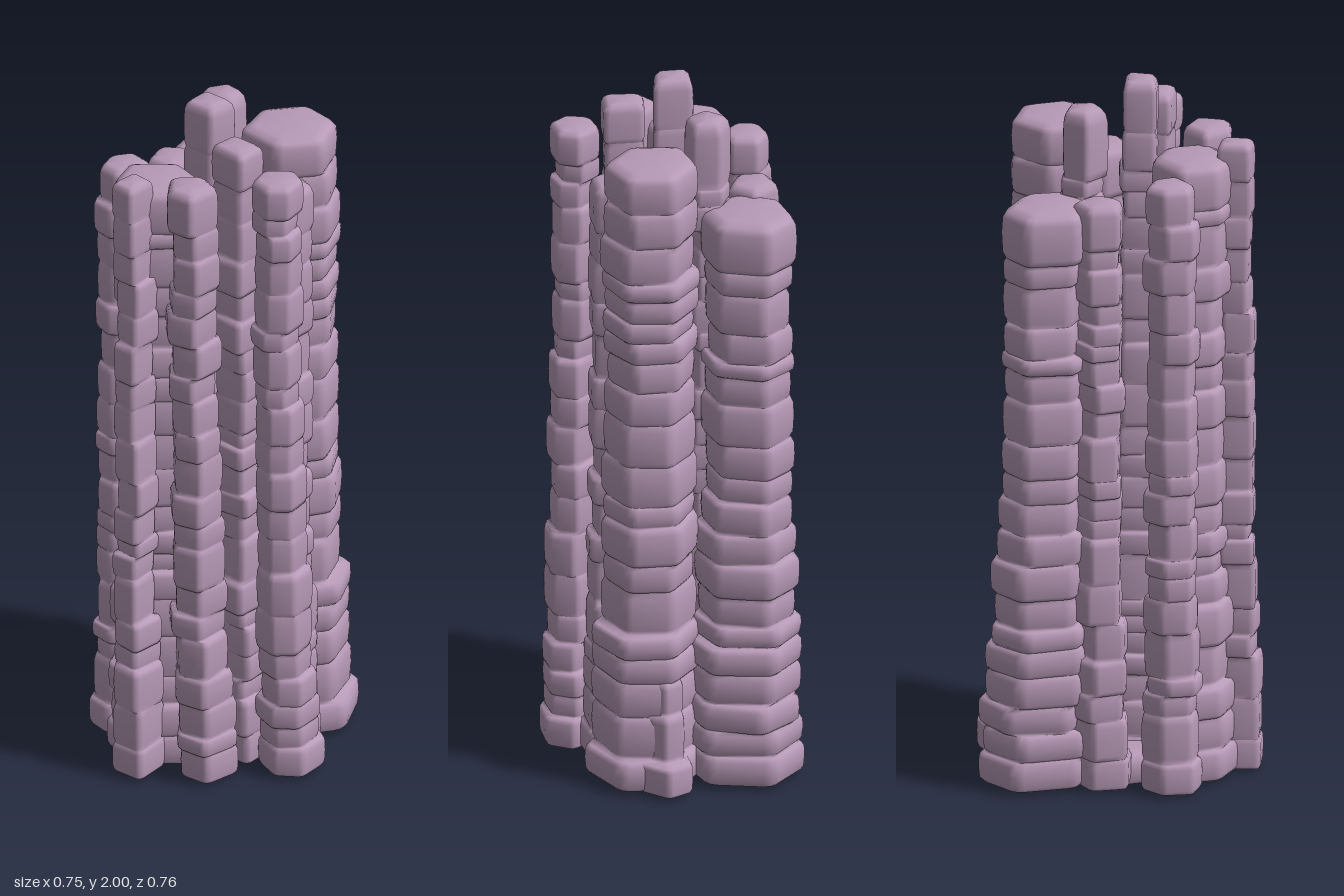
import * as THREE from 'three';

const material = new THREE.MeshStandardMaterial({ color: 0xb79ab7 });

// Small seeded generator, returns values in -1..1
function seeded(seed) {
  let s = seed * 7919 + 17;
  return () => {
    s = (s * 16807) % 2147483647;
    return (s / 2147483647) * 2 - 1;
  };
}

// Unit polygon with uneven sides, softened corners and four points per side
function outline(sides, rot, rand) {
  const corners = [];
  for (let i = 0; i < sides; i++) {
    const a = rot + ((i + rand() * 0.1) / sides) * Math.PI * 2;
    const r = 1.03 + rand() * 0.08;
    corners.push(new THREE.Vector2(Math.cos(a) * r, Math.sin(a) * r));
  }
  const points = [];
  corners.forEach((c, i) => {
    const prev = corners[(i + sides - 1) % sides];
    const next = corners[(i + 1) % sides];
    const before = c.clone().lerp(prev, 0.15);
    const after = c.clone().lerp(next, 0.15);
    const tip = before.clone().add(after).multiplyScalar(0.5).lerp(c, 0.5);
    points.push(before, tip, after, c.clone().lerp(next, 0.5));
  });
  return points;
}

// Height fraction and scale of the rings of an ordinary block and of the top one
const BLOCK = [[0, 0.92], [0.12, 0.98], [0.5, 1], [0.85, 0.99], [1, 0.92]];
const CROWN = [[0, 0.92], [0.12, 0.98], [0.5, 1], [0.8, 0.98], [0.92, 0.9], [1, 0.7]];

// A stone column: uneven stacked blocks, slim at the waist, flaring at the base
function column({ top, at, r, base, rBase, sides, rot, bottom = 0.012 }, seed) {
  const rand = seeded(seed);
  for (let i = 0; i < 5; i++) rand();
  const shape = outline(sides, rot, rand);
  const n = shape.length;
  const rings = [];

  let y = bottom;
  while (y < top) {
    let h = y === bottom ? 0.085 : 0.09 + rand() * 0.045;
    if (top - y - h < 0.09) h = top - y;
    const t = (y + h / 2) / top;
    const flare = Math.pow(1 - t, 2.5);
    const waist = 1 - 0.08 * Math.sin(Math.PI * t);
    const mix = (a, b) => a + (b - a) * flare;
    const radius = mix(r, rBase) * waist * (1 + rand() * 0.07);
    const cx = mix(at[0], base[0]) + rand() * 0.008;
    const cz = mix(at[1], base[1]) + rand() * 0.008;
    const twist = rand() * 0.12;
    for (const [f, k] of y + h >= top ? CROWN : BLOCK) {
      rings.push({ y: y + h * f, s: radius * k, cx, cz, twist });
    }
    y += h;
  }

  const positions = [];
  const index = [];
  for (const g of rings) {
    const c = Math.cos(g.twist), s = Math.sin(g.twist);
    for (const p of shape) {
      positions.push(g.cx + (p.x * c - p.y * s) * g.s, g.y, g.cz + (p.x * s + p.y * c) * g.s);
    }
  }
  for (let k = 0; k < rings.length - 1; k++) {
    for (let i = 0; i < n; i++) {
      const j = (i + 1) % n;
      const a = k * n + i, b = k * n + j;
      index.push(a, a + n, b, b, a + n, b + n);
    }
  }
  // Top cap shares the rim for a soft edge; the bottom has its own flat rim
  const first = rings[0], end = rings[rings.length - 1];
  const topCentre = positions.length / 3;
  positions.push(end.cx, end.y, end.cz);
  const rim = topCentre + 1;
  for (let i = 0; i < n; i++) positions.push(...positions.slice(i * 3, i * 3 + 3));
  const bottomCentre = rim + n;
  positions.push(first.cx, first.y, first.cz);
  const topRim = (rings.length - 1) * n;
  for (let i = 0; i < n; i++) {
    const j = (i + 1) % n;
    index.push(topCentre, topRim + j, topRim + i);
    index.push(bottomCentre, rim + i, rim + j);
  }

  const geometry = new THREE.BufferGeometry();
  geometry.setAttribute('position', new THREE.Float32BufferAttribute(positions, 3));
  geometry.setIndex(index);
  geometry.computeVertexNormals();
  return new THREE.Mesh(geometry, material);
}

// Placement of every column: [x, z] and radius at the top and at the base
const COLUMNS = [
  { name: 'backColumn', top: 1.69, at: [0.01, -0.21], r: 0.127, base: [0.05, -0.2], rBase: 0.185, sides: 6, rot: 0.09 },
  { name: 'rightColumn', top: 1.86, at: [0.178, 0.0], r: 0.13, base: [0.193, 0.0], rBase: 0.16, sides: 6, rot: -0.07 },
  { name: 'backLeftColumn', top: 1.71, at: [-0.125, -0.14], r: 0.074, base: [-0.135, -0.14], rBase: 0.092, sides: 5, rot: 0.6 },
  { name: 'leftColumn', top: 1.77, at: [-0.285, -0.018], r: 0.078, base: [-0.283, -0.02], rBase: 0.086, sides: 6, rot: 0.1 },
  { name: 'frontLeftColumn', top: 1.8, at: [-0.22, 0.125], r: 0.118, base: [-0.222, 0.12], rBase: 0.138, sides: 6, rot: 0.1 },
  { name: 'cornerColumn', top: 1.84, at: [-0.295, 0.22], r: 0.064, base: [-0.293, 0.243], rBase: 0.082, sides: 4, rot: 0.1 },
  { name: 'frontColumn', top: 1.84, at: [-0.145, 0.268], r: 0.074, base: [-0.11, 0.288], rBase: 0.09, sides: 5, rot: 0.3 },
  { name: 'frontRightColumn', top: 1.86, at: [0.085, 0.308], r: 0.071, base: [0.137, 0.295], rBase: 0.096, sides: 6, rot: 0.2 },
  { name: 'innerFrontColumn', top: 1.92, at: [-0.01, 0.2], r: 0.072, base: [0.0, 0.2], rBase: 0.085, sides: 4, rot: 1.7 },
  { name: 'innerBackColumn', top: 1.935, at: [0.01, -0.08], r: 0.067, base: [-0.01, -0.065], rBase: 0.095, sides: 5, rot: 1.2 },
  { name: 'tallestColumn', top: 2.0, at: [-0.06, 0.075], r: 0.072, base: [-0.035, 0.07], rBase: 0.11, sides: 4, rot: 0.05 },
  { name: 'sideColumn', top: 1.75, at: [0.13, 0.14], r: 0.082, base: [0.15, 0.15], rBase: 0.095, sides: 5, rot: 0.1 },
  { name: 'footBlock', top: 0.33, at: [0.24, -0.09], r: 0.06, base: [0.285, -0.13], rBase: 0.092, sides: 5, rot: 0.7 },
  { name: 'baseSlab', top: 0.09, at: [-0.03, 0.03], r: 0.21, base: [-0.03, 0.03], rBase: 0.21, sides: 6, rot: 0.0, bottom: 0 },
];

export function createModel() {
  const group = new THREE.Group();
  group.name = 'rockColumns';
  COLUMNS.forEach((spec, i) => {
    const mesh = column(spec, i + 3);
    mesh.name = spec.name;
    group.add(mesh);
  });
  return group;
}
